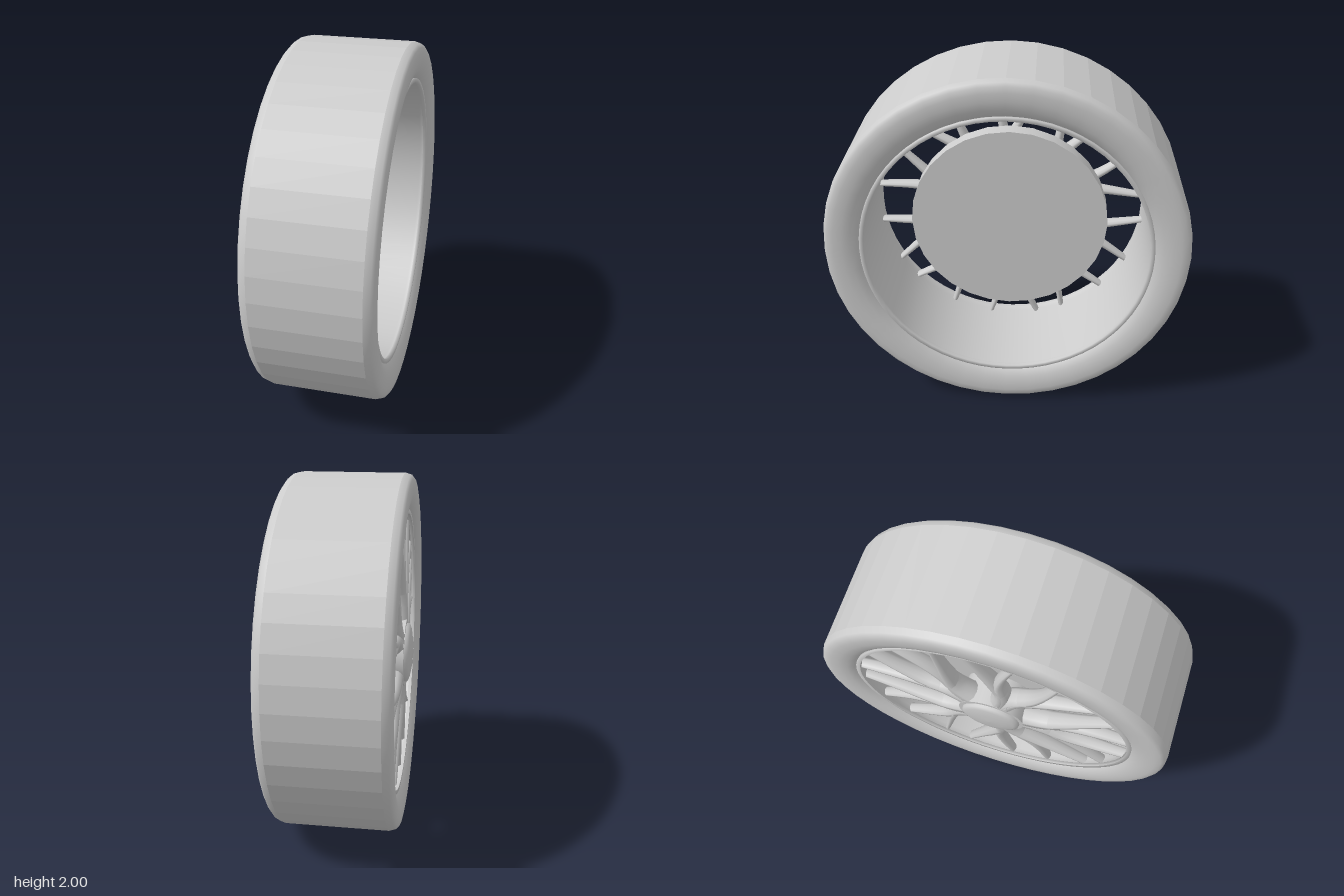
import * as THREE from 'three';

const mat = new THREE.MeshStandardMaterial({ color: 0xcccccc });
const flatMat = new THREE.MeshStandardMaterial({ color: 0xcccccc, flatShading: true });

// Profile of [radius, x] pairs spun round the x axis
function spin(name, profile, sides, material = mat) {
  const geo = new THREE.LatheGeometry(profile.map(([r, x]) => new THREE.Vector2(r, x)), sides);
  geo.rotateZ(-Math.PI / 2);
  const mesh = new THREE.Mesh(geo, material);
  mesh.name = name;
  return mesh;
}

// Disc or drum along the x axis, from x0 to x1
function drum(name, r, x0, x1, sides) {
  const geo = new THREE.CylinderGeometry(r, r, x1 - x0, sides);
  geo.rotateZ(-Math.PI / 2).translate((x0 + x1) / 2, 0, 0);
  const mesh = new THREE.Mesh(geo, mat);
  mesh.name = name;
  return mesh;
}

// Tapered oval bar along a path of [radial, sideways] points
function branch(name, path) {
  const curve = new THREE.CatmullRomCurve3(path.map(([y, z]) => new THREE.Vector3(0, y, z)));
  const steps = 14, sides = 10, pos = [], index = [];
  for (let i = 0; i <= steps; i++) {
    const t = i / steps;
    const c = curve.getPoint(t), d = curve.getTangent(t);
    const w = THREE.MathUtils.lerp(0.055, 0.016, Math.pow(t, 0.8));
    const h = THREE.MathUtils.lerp(0.07, 0.03, t);
    const front = THREE.MathUtils.lerp(-0.315, -0.285, t);
    for (let j = 0; j < sides; j++) {
      const a = (j / sides) * Math.PI * 2;
      const s = Math.cos(a) * w;
      pos.push(front + h + Math.sin(a) * h, c.y - d.z * s, c.z + d.y * s);
      if (i < steps) {
        const k = i * sides + j, n = i * sides + (j + 1) % sides;
        index.push(k, n, k + sides, n, n + sides, k + sides);
      }
    }
  }
  const geo = new THREE.BufferGeometry();
  geo.setAttribute('position', new THREE.Float32BufferAttribute(pos, 3));
  geo.setIndex(index);
  geo.computeVertexNormals();
  const mesh = new THREE.Mesh(geo, mat);
  mesh.name = name;
  return mesh;
}

export function createModel() {
  const model = new THREE.Group();
  model.name = 'wheel';
  const wheel = new THREE.Group();
  wheel.name = 'wheelAssembly';
  wheel.position.y = 1;
  model.add(wheel);

  // Tyre: faceted tread between two smooth, bulging sidewalls
  const wall = [[0.797, 0.285], [0.815, 0.307], [0.85, 0.325], [0.895, 0.335],
    [0.94, 0.336], [0.972, 0.331], [0.99, 0.317], [1, 0.285]];
  wheel.add(spin('tread', [[1, -0.28], [1, 0.29]], 44, flatMat));
  wheel.add(spin('outerSidewall', wall.map(([r, x]) => [r, 0.005 - x]), 44));
  wheel.add(spin('innerSidewall', wall.map(([r, x]) => [r, 0.005 + x]).reverse(), 44));

  // Rim barrel with a small lip at each end
  wheel.add(spin('rimBarrel', [[0.785, 0.29], [0.79, 0.27], [0.79, -0.25], [0.78, -0.28]], 64));
  for (const [name, x] of [['outerLip', -0.29], ['innerLip', 0.3]]) {
    wheel.add(spin(name, [[0.78, x - 0.01], [0.803, x - 0.01], [0.803, x + 0.01],
      [0.78, x + 0.01], [0.78, x - 0.01]], 64, mat));
  }

  // Five arms, each forking into four tapered branches
  const inner = [[0.12, 0.02], [0.28, 0.04], [0.42, 0.1], [0.56, 0.121], [0.785, 0.122]];
  const outer = [[0.12, 0.01], [0.28, 0.03], [0.41, 0.128], [0.516, 0.23], [0.684, 0.395]];
  for (let i = 0; i < 5; i++) {
    const arm = new THREE.Group();
    arm.name = 'spokeArm';
    arm.rotation.x = THREE.MathUtils.degToRad(18 + 72 * i);
    for (const side of [1, -1]) {
      arm.add(branch('innerBranch', inner.map(([y, z]) => [y, z * side])));
      arm.add(branch('outerBranch', outer.map(([y, z]) => [y, z * side])));
    }
    wheel.add(arm);
  }

  // Hub, domed centre cap and brake disc
  wheel.add(drum('hub', 0.19, -0.31, -0.1, 30));
  wheel.add(spin('centreCap', [[0, -0.348], [0.08, -0.345], [0.14, -0.335], [0.165, -0.325], [0.17, -0.3]], 30));
  wheel.add(drum('brakeDisc', 0.567, -0.13, -0.04, 28));
  return model;
}
